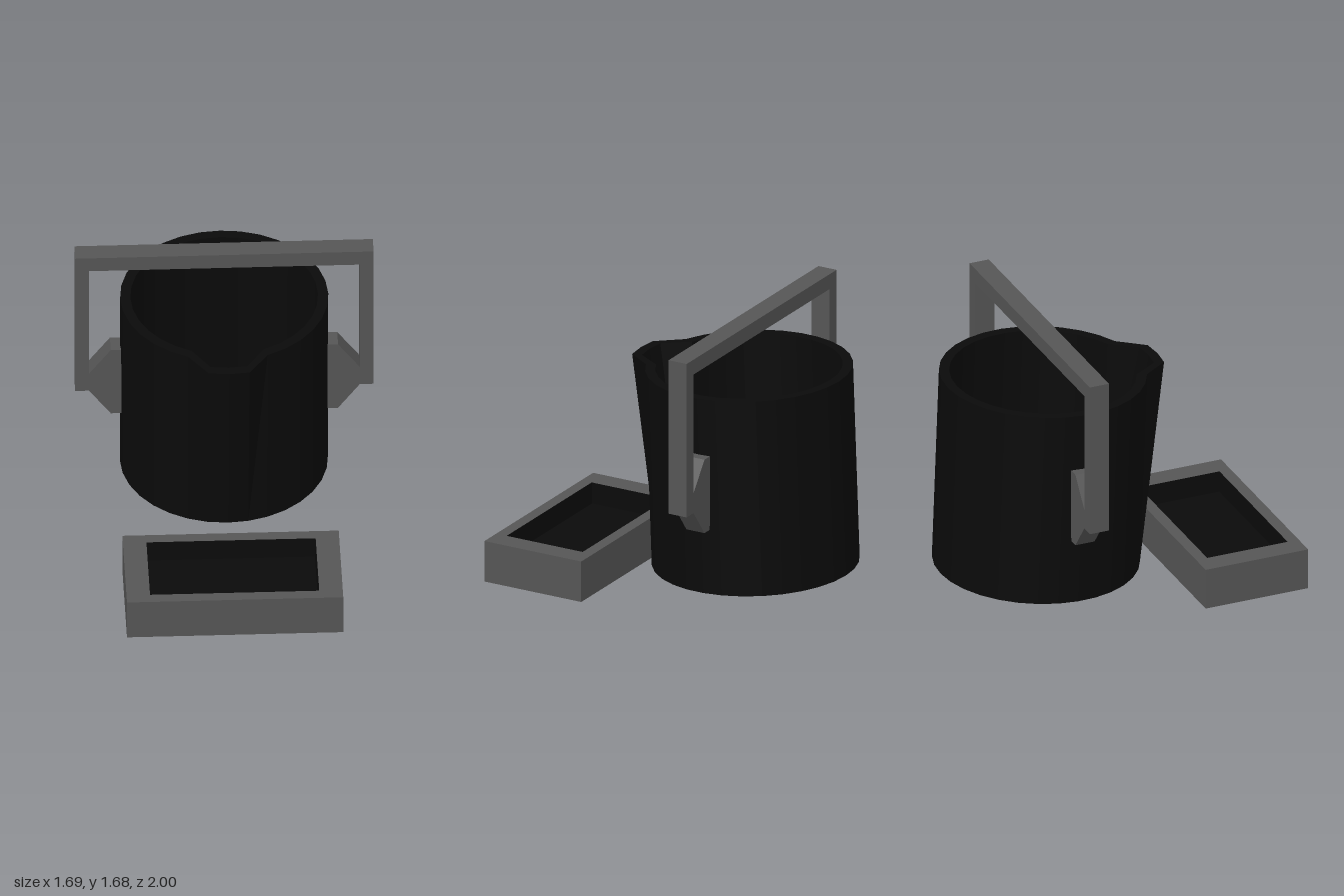
import * as THREE from 'three';

const grey = new THREE.MeshStandardMaterial({ color: 0x555555, flatShading: true });
const black = new THREE.MeshStandardMaterial({ color: 0x0a0a0a, flatShading: true });

function addMesh(parent, name, geometry, material, x = 0, y = 0, z = 0) {
  const mesh = new THREE.Mesh(geometry, material);
  mesh.name = name;
  mesh.position.set(x, y, z);
  parent.add(mesh);
  return mesh;
}

// Thick-walled bucket: rings run from the underside, up the outside, over the rim and down inside
function bucketGeometry() {
  const sides = 32, height = 1.17, spout = 0.12;
  const rings = [[0, 0], [0.588, 0], [0.588, height], [0.53, height], [0.53, 0.06], [0, 0.06]];
  const positions = [], index = [];
  rings.forEach(([r, y], ring) => {
    for (let k = 0; k < sides; k++) {
      const a = (k / sides) * Math.PI * 2;
      // The three front corners are pulled out towards the rim to form the spout
      const inSpout = r > 0 && (k <= 1 || k === sides - 1);
      positions.push(r * Math.sin(a), y, r * Math.cos(a) + (inSpout ? spout * y / height : 0));
      if (ring === 0) continue;
      const next = (k + 1) % sides;
      const a0 = (ring - 1) * sides + k, b0 = (ring - 1) * sides + next;
      const a1 = ring * sides + k, b1 = ring * sides + next;
      if (rings[ring - 1][0] > 0) index.push(a0, b0, b1);
      if (r > 0) index.push(a0, b1, a1);
      else index.push(a0, b0, a1);
    }
  });
  // Underside fan, whose inner ring collapses to a point
  const geometry = new THREE.BufferGeometry();
  geometry.setAttribute('position', new THREE.Float32BufferAttribute(positions, 3));
  geometry.setIndex(index);
  const flat = geometry.toNonIndexed();
  flat.computeVertexNormals();
  return flat;
}

function rectangle(w, d, Type = THREE.Shape) {
  return new Type([[-w, -d], [w, -d], [w, d], [-w, d]].map(([x, y]) => new THREE.Vector2(x / 2, y / 2)));
}

// Upright rectangular frame standing on y = 0
function frameGeometry(w, d, innerW, innerD, height) {
  const shape = rectangle(w, d);
  shape.holes.push(rectangle(innerW, innerD, THREE.Path));
  return new THREE.ExtrudeGeometry(shape, { depth: height, bevelEnabled: false }).rotateX(-Math.PI / 2);
}

function extrudeOutline(points, depth) {
  const shape = new THREE.Shape(points.map(([x, y]) => new THREE.Vector2(x, y)));
  return new THREE.ExtrudeGeometry(shape, { depth, bevelEnabled: false }).translate(0, 0, -depth / 2);
}

export function createModel() {
  const model = new THREE.Group();
  model.name = 'bucketAndTrough';

  // Bucket, tipped slightly forward
  const bucket = addMesh(model, 'bucket', bucketGeometry(), black, 0, 0.198, -0.4125);
  bucket.rotation.x = 0.037;

  // Square handle hoop
  const handle = new THREE.Group();
  handle.name = 'handle';
  handle.position.z = -0.392;
  model.add(handle);
  const hoop = [
    [-0.843, 0.75], [-0.765, 0.75], [-0.765, 1.59], [0.765, 1.59],
    [0.765, 0.75], [0.843, 0.75], [0.843, 1.68], [-0.843, 1.68],
  ];
  addMesh(handle, 'handleHoop', extrudeOutline(hoop, 0.118), grey);

  // Tapered brackets between the hoop and the bucket
  const bracket = [[0.56, 0.587], [0.642, 0.587], [0.765, 0.75], [0.765, 0.87], [0.642, 1.032], [0.56, 1.032]];
  addMesh(handle, 'leftBracket', extrudeOutline(bracket, 0.118), grey);
  addMesh(handle, 'rightBracket', extrudeOutline(bracket, 0.118), grey).rotation.y = Math.PI;

  // Rectangular trough with a dark lined hollow
  const trough = new THREE.Group();
  trough.name = 'trough';
  trough.position.set(0.006, 0, 0.684);
  model.add(trough);
  const height = 0.245, floor = 0.12;
  addMesh(trough, 'troughWalls', frameGeometry(1.222, 0.632, 0.956, 0.496, height), grey);
  addMesh(trough, 'troughBase', new THREE.BoxGeometry(0.956, floor - 0.01, 0.496), grey, 0, (floor - 0.01) / 2, 0);
  addMesh(trough, 'troughFloor', new THREE.BoxGeometry(0.956, 0.01, 0.496), black, 0, floor - 0.005, 0);
  addMesh(trough, 'troughLining', frameGeometry(0.956, 0.496, 0.948, 0.488, height - floor), black, 0, floor, 0);

  return model;
}
